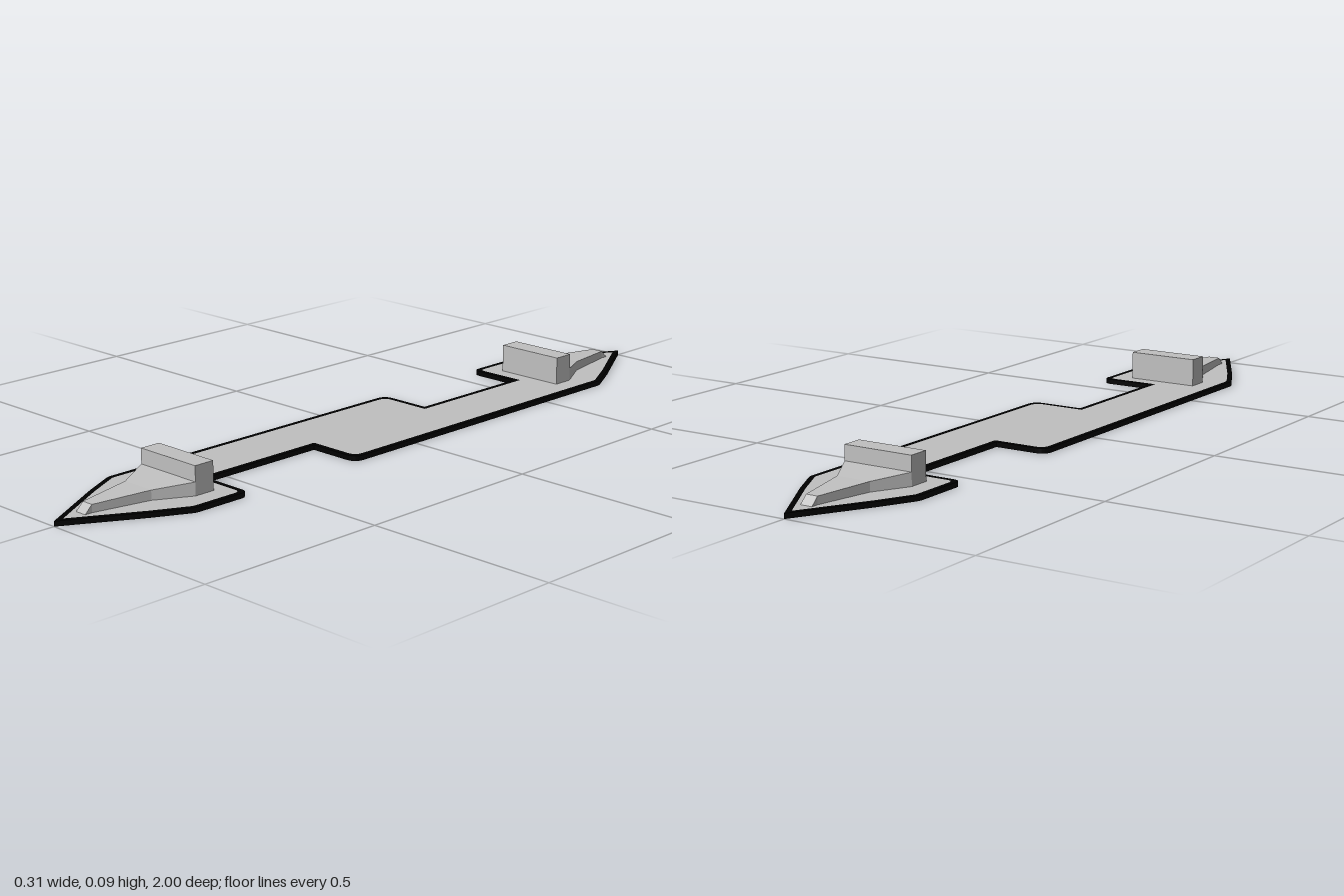
import * as THREE from 'three';

const THICK = 0.0125;
const RIM = 0.013;

// Half of the outline as [x, z, corner radius]; the other half is its half-turn
const HALF = [
  [0, 1, 0], [0.107, 0.815, 0], [0.156, 0.72, 0.01],
  [0.156, 0.563, 0.02], [0.014, 0.563, 0], [0.014, 0.213, 0], [0.156, 0.213, 0.03],
  [0.156, -0.72, 0.01], [0.107, -0.815, 0],
];
const OUTLINE = [...HALF, ...HALF.map(([x, z, r]) => [-x, -z, r])];

// Move every edge inward by d, keeping mitred corners
function inset(points, d) {
  const n = points.length;
  const normal = (a, b) => new THREE.Vector2(b[1] - a[1], a[0] - b[0]).normalize();
  return points.map((p, i) => {
    const n0 = normal(points[(i + n - 1) % n], p);
    const n1 = normal(p, points[(i + 1) % n]);
    const m = n0.clone().add(n1).multiplyScalar(d / (1 + n0.dot(n1)));
    return [p[0] + m.x, p[1] + m.y, p[2] * 0.8];
  });
}

// Draw a closed path with rounded corners
function trace(path, points) {
  const n = points.length;
  points.forEach(([x, y, r], i) => {
    const p = new THREE.Vector2(x, y);
    const toward = (q) => new THREE.Vector2(q[0], q[1]).sub(p).setLength(r).add(p);
    const a = r ? toward(points[(i + n - 1) % n]) : p;
    if (i === 0) path.moveTo(a.x, a.y);
    else path.lineTo(a.x, a.y);
    if (r) {
      const b = toward(points[(i + 1) % n]);
      path.quadraticCurveTo(x, y, b.x, b.y);
    }
  });
  path.closePath();
  return path;
}

function slab(shape) {
  return new THREE.ExtrudeGeometry(shape, { depth: THICK, bevelEnabled: false, curveSegments: 6 })
    .rotateX(Math.PI / 2).translate(0, THICK, 0);
}

// Tapering wedge lofted through rectangles [z, half width, top height]
function wedgeGeometry(sections) {
  const base = THICK - 0.001;
  const rings = sections.map(([z, w, t]) => [[-w, base, z], [w, base, z], [w, t, z], [-w, t, z]]);
  const pos = [];
  const quad = (a, b, c, d) => pos.push(...a, ...b, ...c, ...a, ...c, ...d);
  for (let i = 0; i < rings.length - 1; i++) {
    const [r, s] = [rings[i], rings[i + 1]];
    for (let k = 0; k < 4; k++) {
      const m = (k + 1) % 4;
      quad(r[k], r[m], s[m], s[k]);
    }
  }
  const first = rings[0], last = rings[rings.length - 1];
  quad(first[3], first[2], first[1], first[0]);
  quad(...last);
  const g = new THREE.BufferGeometry();
  g.setAttribute('position', new THREE.Float32BufferAttribute(pos, 3));
  g.computeVertexNormals();
  return g;
}

export function createModel() {
  const grey = new THREE.MeshStandardMaterial({ color: 0xc0c0c0 });
  grey.name = 'light grey';
  const black = new THREE.MeshStandardMaterial({ color: 0x000000 });
  black.name = 'black';

  const model = new THREE.Group();
  model.name = 'doubleEndedPlate';
  const add = (parent, name, geometry, material) => {
    const mesh = new THREE.Mesh(geometry, material);
    mesh.name = name;
    parent.add(mesh);
    return mesh;
  };

  // Flat plate and the dark rim around it
  const inner = inset(OUTLINE, RIM);
  add(model, 'plate', slab(trace(new THREE.Shape(), inner)), grey);
  const ring = trace(new THREE.Shape(), OUTLINE);
  ring.holes.push(trace(new THREE.Path(), inner));
  add(model, 'rim', slab(ring), black);

  // A crossbar with a tapering nose at each end
  const wedge = wedgeGeometry([
    [0.66, 0.095, 0.046], [0.668, 0.095, 0.046], [0.758, 0.046, 0.037],
    [0.905, 0.016, 0.032], [0.925, 0.016, THICK],
  ]);
  const barHeight = 0.085 - THICK + 0.001;
  const bar = new THREE.BoxGeometry(0.19, barHeight, 0.055)
    .translate(0, 0.085 - barHeight / 2, 0.6405);
  for (const [name, turn] of [['frontHead', 0], ['backHead', Math.PI]]) {
    const head = new THREE.Group();
    head.name = name;
    add(head, 'crossbar', bar, grey);
    add(head, 'nose', wedge, grey);
    head.rotation.y = turn;
    model.add(head);
  }
  return model;
}
